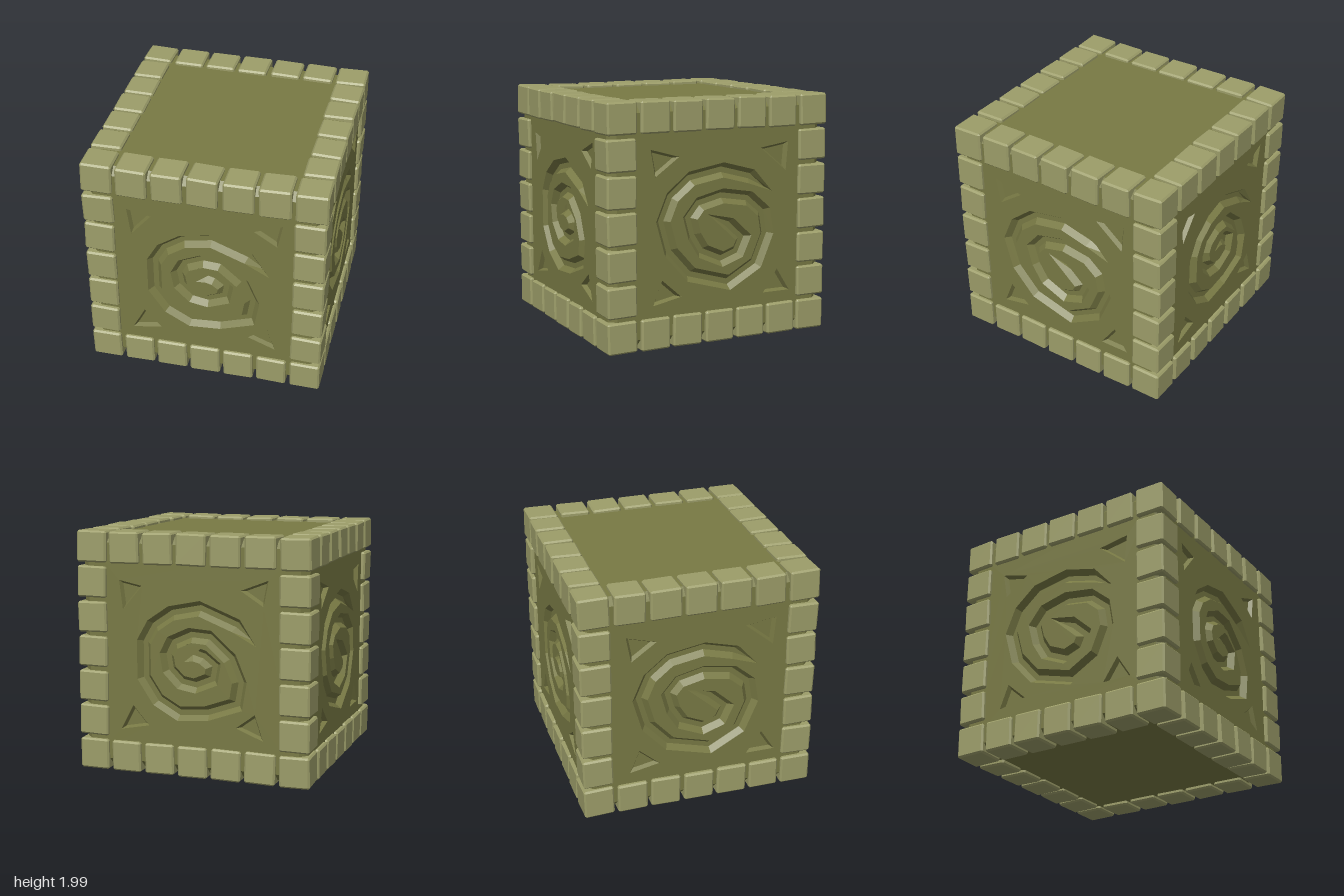
import * as THREE from 'three';
import { ConvexGeometry } from 'three/addons/geometries/ConvexGeometry.js';

const CORE = 0.96;   // distance of the panels from the centre
const FLAT = 0.90;   // half width of a panel, inside the chamfer
const V = (x, y) => new THREE.Vector2(x, y);

// Centre lines of the two carved spirals, tail first
const spiralA = [[.54, .12], [.37, .28], [.06, .40], [-.18, .35], [-.34, .24], [-.42, .10], [-.42, -.19],
  [-.30, -.37], [-.12, -.47], [.12, -.45], [.37, -.36], [.40, -.18], [.32, .01], [.14, .17], [-.02, .18],
  [-.17, .11], [-.22, .01], [-.20, -.11], [-.10, -.21], [.02, -.23], [.16, -.17], [.18, -.06], [.09, .01],
  [-.02, .04], [-.07, -.04]];
const spiralB = [[.49, .21], [.30, .34], [.04, .41], [-.25, .36], [-.42, .22], [-.50, .03], [-.43, -.22],
  [-.25, -.42], [.10, -.52], [.35, -.38], [.45, -.14], [.42, .04], [.28, .16], [.04, .20], [-.17, .15],
  [-.26, .04], [-.22, -.11], [-.14, -.24], [.04, -.32], [.18, -.27], [.23, -.16], [.10, -.04], [-.10, .06]];

// Carved corner triangles
const trianglesA = [[[-.63, .60], [-.43, .56], [-.60, .36]], [[.41, .56], [.64, .65], [.60, .44]],
  [[-.52, -.43], [-.38, -.59], [-.63, -.64]], [[.53, -.43], [.60, -.64], [.37, -.55]]];
const trianglesB = [[[-.61, .61], [-.36, .54], [-.57, .39]], [[.38, .57], [.64, .61], [.62, .37]],
  [[-.51, -.44], [-.34, -.59], [-.59, -.64]], [[.55, -.45], [.67, -.64], [.42, -.64]]];

// Counter-clockwise outline of a groove that tapers to a point at both ends
function grooveOutline(path, half, pull) {
  const p = path.map(([x, y]) => V(x, y)), n = p.length;
  const right = [], left = [];
  for (let i = 1; i < n - 1; i++) {
    const a = p[i].clone().sub(p[i - 1]).normalize();
    const b = p[i + 1].clone().sub(p[i]).normalize();
    const m = a.clone().add(b).normalize();
    const w = half / Math.max(0.7, m.dot(a));
    right.push(V(p[i].x + m.y * w, p[i].y - m.x * w));
    left.unshift(V(p[i].x - m.y * w, p[i].y + m.x * w));
  }
  return [p[0].clone().lerp(p[1], pull), ...right, p[n - 1].clone().lerp(p[n - 2], pull), ...left];
}

// Sloping walls between an outline on the surface and one below it
function wallGeometry(top, floor, depth) {
  const pos = [];
  top.forEach((a, i) => {
    const j = (i + 1) % top.length, b = top[j], c = floor[j], d = floor[i];
    pos.push(a.x, a.y, 0, b.x, b.y, 0, c.x, c.y, -depth, a.x, a.y, 0, c.x, c.y, -depth, d.x, d.y, -depth);
  });
  const g = new THREE.BufferGeometry();
  g.setAttribute('position', new THREE.Float32BufferAttribute(pos, 3));
  g.computeVertexNormals();
  return g;
}

export function createModel() {
  const model = new THREE.Group();
  const panelMat = new THREE.MeshStandardMaterial({ color: 0x787944 });
  panelMat.name = 'dark olive stone';
  const blockMat = new THREE.MeshStandardMaterial({ color: 0x9c9d69 });
  blockMat.name = 'light olive stone';

  const add = (parent, name, geometry, material) => {
    const mesh = new THREE.Mesh(geometry, material);
    mesh.name = name;
    parent.add(mesh);
    return mesh;
  };

  const cube = new THREE.Group();
  cube.name = 'stoneCube';
  cube.position.y = 1;
  model.add(cube);

  // Four carved side panels
  function carvedPanel(name, spiral, triangles, turn) {
    const panel = new THREE.Group();
    panel.name = name;
    const face = new THREE.Group();
    face.position.z = CORE;
    panel.add(face);
    panel.rotation.y = turn;
    const shape = new THREE.Shape([V(-FLAT, -FLAT), V(FLAT, -FLAT), V(FLAT, FLAT), V(-FLAT, FLAT)]);

    const carve = (label, top, floor, depth) => {
      shape.holes.push(new THREE.Path(top));
      add(face, label + 'Walls', wallGeometry(top, floor, depth), panelMat);
      add(face, label + 'Floor', new THREE.ShapeGeometry(new THREE.Shape(floor)), panelMat).position.z = -depth;
    };

    carve('spiral', grooveOutline(spiral, 0.06, 0), grooveOutline(spiral, 0.022, 0.25), 0.05);
    for (const t of triangles) {
      const top = t.map(([x, y]) => V(x, y));
      if (THREE.ShapeUtils.isClockWise(top)) top.reverse();
      const mid = V(0, 0);
      top.forEach(q => mid.addScaledVector(q, 1 / 3));
      carve('triangle', top, top.map(q => q.clone().lerp(mid, 0.28)), 0.035);
    }
    add(face, 'panelSurface', new THREE.ShapeGeometry(shape), panelMat);
    cube.add(panel);
  }
  carvedPanel('frontPanel', spiralA, trianglesA, 0);
  carvedPanel('leftPanel', spiralB, trianglesB, Math.PI / 2);
  carvedPanel('backPanel', spiralA, trianglesA, Math.PI);
  carvedPanel('rightPanel', spiralB, trianglesB, -Math.PI / 2);

  // Plain top and bottom panels
  for (const s of [1, -1]) {
    const plate = add(cube, s > 0 ? 'topPanel' : 'bottomPanel', new THREE.PlaneGeometry(2 * FLAT, 2 * FLAT), panelMat);
    plate.position.y = s * CORE;
    plate.rotation.x = -s * Math.PI / 2;
  }

  // Chamfered core edges, seen between the blocks
  const strip = new THREE.PlaneGeometry(2 * FLAT, (CORE - FLAT) * Math.SQRT2);
  const mid = (CORE + FLAT) / 2;
  const edges = [];
  for (const a of [-1, 1]) for (const b of [-1, 1]) edges.push([0, a, b], [a, 0, b], [a, b, 0]);
  for (const e of edges) {
    const n = new THREE.Vector3(...e).normalize();
    const along = new THREE.Vector3(...e.map(v => (v === 0 ? 1 : 0)));
    const chamfer = add(cube, 'coreChamfer', strip, panelMat);
    chamfer.quaternion.setFromRotationMatrix(new THREE.Matrix4().makeBasis(along, n.clone().cross(along), n));
    chamfer.position.set(...e).multiplyScalar(mid);
  }

  // Bevelled block, shared by the whole border
  const h = 0.127, r = h - 0.014, corners = [];
  for (const x of [-1, 1]) for (const y of [-1, 1]) for (const z of [-1, 1]) {
    corners.push(new THREE.Vector3(x * h, y * r, z * r), new THREE.Vector3(x * r, y * h, z * r),
      new THREE.Vector3(x * r, y * r, z * h));
  }
  const blockGeo = new ConvexGeometry(corners);

  // Seven slightly uneven blocks along every edge of the cube
  let seed = 7;
  const jitter = a => {
    seed = (seed * 16807) % 2147483647;
    return (seed / 2147483647 * 2 - 1) * a;
  };
  const onRim = i => (i === 0 || i === 6 ? 1 : 0);
  for (let i = 0; i < 7; i++) for (let j = 0; j < 7; j++) for (let k = 0; k < 7; k++) {
    if (onRim(i) + onRim(j) + onRim(k) < 2) continue;
    const block = add(cube, 'borderBlock', blockGeo, blockMat);
    block.position.set(...[i, j, k].map(c => (c - 3) * 0.288));
    block.rotation.set(jitter(0.025), jitter(0.025), jitter(0.025));
    block.scale.set(1 + jitter(0.015), 1 + jitter(0.015), 1 + jitter(0.015));
  }
  return model;
}
